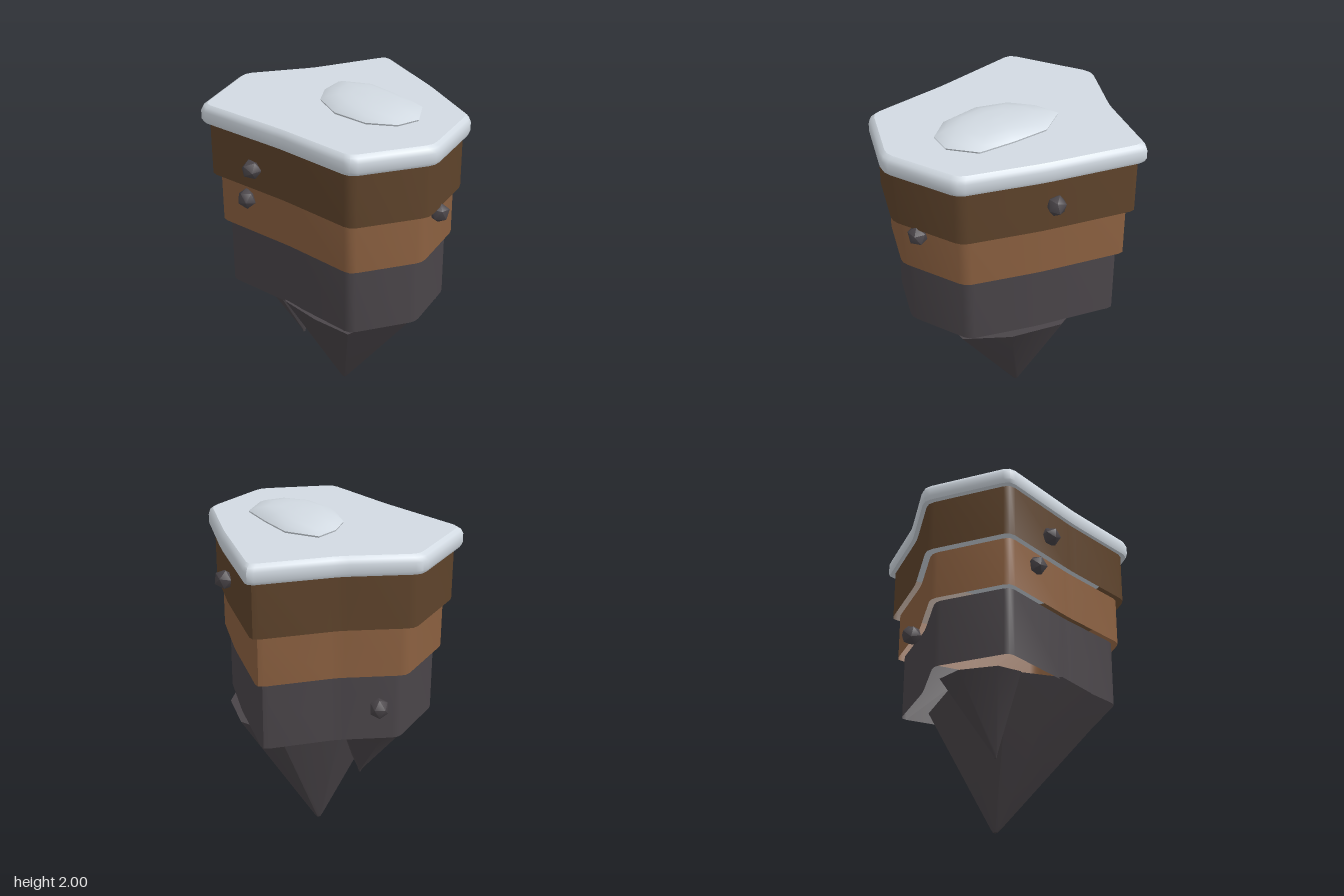
import * as THREE from 'three';
import { toCreasedNormals, mergeGeometries } from 'three/addons/utils/BufferGeometryUtils.js';

// Corners of the rock shelf seen from above, as [x, z]
const OUTLINE = [
  [-0.49, -0.69], [0.1, -0.567], [0.57, -0.435], [0.78, 0], [0.62, 0.455],
  [0.1, 0.545], [-0.49, 0.685], [-0.785, 0.215], [-0.61, -0.19],
];

// Replace every corner with a short three-point curve
function roundCorners(points, d) {
  const out = [];
  points.forEach(([x, z], i) => {
    const p = new THREE.Vector2(x, z);
    const toward = (q) => new THREE.Vector2(...q).sub(p).setLength(d).add(p);
    const a = toward(points[(i + points.length - 1) % points.length]);
    const b = toward(points[(i + 1) % points.length]);
    const mid = a.clone().add(b).multiplyScalar(0.25).addScaledVector(p, 0.5);
    for (const q of [a, mid, b]) out.push([q.x, q.y]);
  });
  return out;
}

function triangles(list) {
  const g = new THREE.BufferGeometry();
  g.setAttribute('position', new THREE.Float32BufferAttribute(list.flat(), 3));
  return toCreasedNormals(g, 0.72);
}

// Skin a stack of equal rings from bottom to top, with optional flat caps
function loft(rings, capBottom, capTop) {
  const n = rings[0].length;
  const walls = [];
  for (let r = 0; r + 1 < rings.length; r++) {
    for (let i = 0; i < n; i++) {
      const j = (i + 1) % n;
      const a = rings[r][i], b = rings[r][j], c = rings[r + 1][j], d = rings[r + 1][i];
      walls.push(a, d, c, a, c, b);
    }
  }
  const parts = [triangles(walls)];
  const cap = (ring, up) => {
    const mid = [0, 1, 2].map((k) => ring.reduce((s, p) => s + p[k], 0) / n);
    const list = [];
    ring.forEach((p, i) => {
      const q = ring[(i + 1) % n];
      list.push(mid, ...(up ? [q, p] : [p, q]));
    });
    parts.push(triangles(list));
  };
  if (capBottom) cap(rings[0], false);
  if (capTop) cap(rings[rings.length - 1], true);
  return mergeGeometries(parts);
}

// A ring at height y, scaled about a centre
const ringAt = (pts, y, s, cx = 0, cz = 0) =>
  pts.map(([x, z]) => [cx + (x - cx) * s, y, cz + (z - cz) * s]);

// A hanging spike: tilted base ring of [x, y, z] drawn down to a blunt tip
function spike(base, [tx, ty, tz]) {
  const toTip = (s, y) => base.map(([x, , z]) => [tx + (x - tx) * s, y, tz + (z - tz) * s]);
  return loft([toTip(0.025, ty), toTip(0.06, ty + 0.025), base], true, true);
}

export function createModel() {
  const group = new THREE.Group();
  const material = (name, color, side = THREE.FrontSide) => {
    const m = new THREE.MeshStandardMaterial({ color, side });
    m.name = name;
    return m;
  };
  const snow = material('snow', 0xd2dae2);
  const darkSoil = material('dark soil', 0x5e432b, THREE.DoubleSide);
  const soil = material('soil', 0x8b6040, THREE.DoubleSide);
  const stone = material('stone', 0x4a4549, THREE.DoubleSide);
  const add = (name, geometry, mat) => {
    const mesh = new THREE.Mesh(geometry, mat);
    mesh.name = name;
    group.add(mesh);
    return mesh;
  };

  // Open bands of soil and stone, stepping inward going down
  const outline = roundCorners(OUTLINE, 0.045);
  for (const [name, low, high, s, mat] of [
    ['darkSoilBand', 1.51, 1.835, 0.943, darkSoil],
    ['soilBand', 1.21, 1.51, 0.885, soil],
    ['stoneBand', 0.8, 1.21, 0.832, stone],
  ]) {
    add(name, loft([ringAt(outline, low, s), ringAt(outline, high, s)], false, false), mat);
  }

  // Snow slab with a softened upper edge
  const slab = [[1.83, 0.985], [1.85, 1], [1.9, 1], [1.925, 0.985], [1.94, 0.955]];
  add('snowSlab', loft(slab.map(([y, s]) => ringAt(outline, y, s)), true, true), snow);

  // Low snow mound on top
  const moundOutline = [
    [-0.275, -0.14], [-0.11, -0.263], [0.11, -0.277], [0.33, -0.275], [0.46, -0.14],
    [0.45, 0], [0.32, 0.12], [0.1, 0.165], [-0.11, 0.11], [-0.22, 0],
  ];
  const mound = [[1.935, 0.98], [1.95, 1], [1.972, 0.86], [1.99, 0.62], [1.998, 0.35], [2, 0.05]];
  add('snowMound', loft(mound.map(([y, s]) => ringAt(moundOutline, y, s, 0.1, -0.07)), false, true), snow);

  // Stone spikes underneath
  add('largeSpike', spike([
    [-0.3, 0.81, -0.42], [-0.05, 0.8, -0.54], [0.25, 0.79, -0.47], [0.48, 0.76, -0.3],
    [0.48, 0.765, 0.36], [0.27, 0.79, 0.44], [0.03, 0.81, 0.48], [-0.26, 0.82, 0.35], [-0.39, 0.82, -0.05],
  ], [-0.075, 0, -0.03]), stone);
  add('smallSpike', spike([
    [-0.4, 0.8, -0.05], [-0.16, 0.81, 0], [-0.15, 0.81, 0.3], [-0.22, 0.8, 0.42],
    [-0.38, 0.79, 0.42], [-0.55, 0.77, 0.28], [-0.57, 0.77, 0.12],
  ], [-0.22, 0.35, 0.18]), stone);

  // Pebbles stuck to the sides
  [
    [-0.12, 1.64, 0.58], [-0.21, 1.42, 0.565], [0.655, 1.465, -0.14],
    [0.035, 1.675, -0.575], [-0.7, 1.05, 0.01],
  ].forEach((p, i) => {
    const pebble = add('pebble', toCreasedNormals(new THREE.IcosahedronGeometry(0.062, 0), 0.8), stone);
    pebble.position.set(...p);
    pebble.rotation.set(i * 0.9, i * 1.3, i * 0.5);
    pebble.scale.y = 0.92;
  });

  return group;
}
